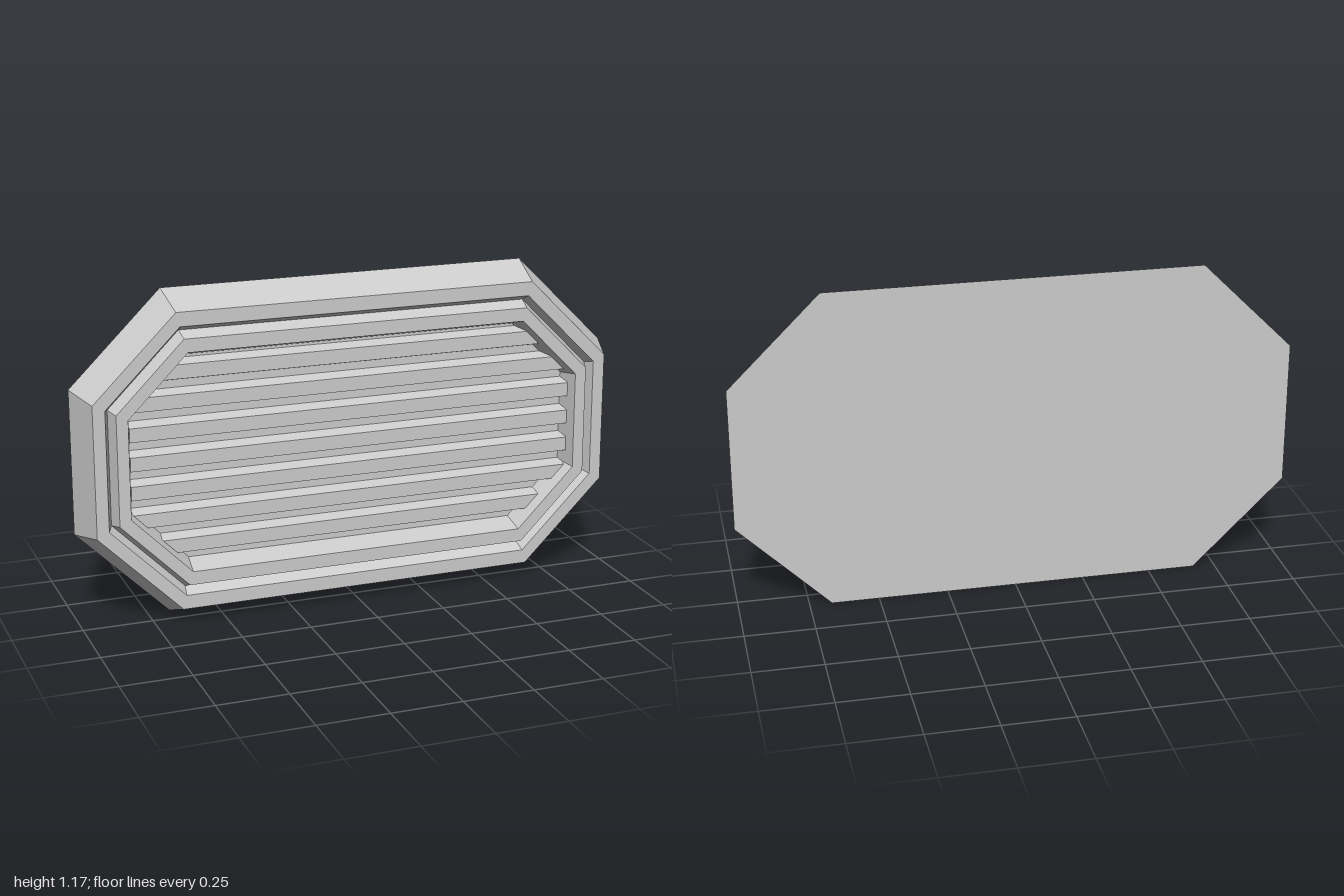
import * as THREE from 'three';

const CY = 0.587; // height of the centre line
const material = new THREE.MeshStandardMaterial({ color: 0xcccccc, flatShading: true, side: THREE.DoubleSide });

// Octagon inset by d from the outer outline: half sizes and corner positions
const octagon = d => ({ w: 1 - d, h: CY - 1.17 * d, cx: 0.67 - 0.3 * d, cy: 0.26 - 0.5 * d });

// Counter-clockwise corners of the octagon at depth z
function ring([d, z]) {
  const { w, h, cx, cy } = octagon(d);
  return [[w, -cy], [w, cy], [cx, h], [-cx, h], [-w, cy], [-w, -cy], [-cx, -h], [cx, -h]]
    .map(([x, y]) => [x, y + CY, z]);
}

// Skin a list of rings; optionally cap the first (facing back) and last (facing front)
function loft(name, steps, capBack, capFront) {
  const rings = steps.map(ring), p = [];
  for (let i = 0; i + 1 < rings.length; i++) {
    const a = rings[i], b = rings[i + 1];
    for (let k = 0; k < 8; k++) {
      const n = (k + 1) % 8;
      p.push(...a[k], ...a[n], ...b[n], ...a[k], ...b[n], ...b[k]);
    }
  }
  const first = rings[0], last = rings[rings.length - 1];
  for (let k = 1; k < 7; k++) {
    if (capBack) p.push(...first[0], ...first[k + 1], ...first[k]);
    if (capFront) p.push(...last[0], ...last[k], ...last[k + 1]);
  }
  const g = new THREE.BufferGeometry();
  g.setAttribute('position', new THREE.Float32BufferAttribute(p, 3));
  g.computeVertexNormals();
  const mesh = new THREE.Mesh(g, material);
  mesh.name = name;
  return mesh;
}

// Half length of the recess at height y from the centre
function reach(y) {
  const { w, h, cx, cy } = octagon(0.178);
  const t = (Math.abs(y) - cy) / (h - cy);
  return t <= 0 ? w : w + (cx - w) * t;
}

// Bevelled slat whose ends follow the slanted recess wall
function slat(y0) {
  const g = new THREE.BoxGeometry(2, 2, 1);
  const pos = g.attributes.position;
  for (let i = 0; i < pos.count; i++) {
    const front = pos.getZ(i) > 0;
    const y = y0 + pos.getY(i) * (front ? 0.025 : 0.04);
    pos.setXYZ(i, pos.getX(i) * reach(y), y + CY, front ? 0.04 : -0.01);
  }
  g.computeVertexNormals();
  const mesh = new THREE.Mesh(g, material);
  mesh.name = 'slat';
  return mesh;
}

export function createModel() {
  const model = new THREE.Group();
  model.name = 'ventGrille';

  // Tapered body with its flat front border
  model.add(loft('frame', [[0, -0.077], [0.047, 0.067], [0.09, 0.067]], true, false));
  // V-shaped groove between the border and the raised rim
  model.add(loft('groove', [[0.09, 0.067], [0.108, 0.025], [0.125, 0.077]], false, false));
  // Raised rim
  model.add(loft('innerRim', [[0.125, 0.077], [0.166, 0.077]], false, false));
  // Recess walls and floor
  model.add(loft('recess', [[0.166, 0.077], [0.188, -0.005]], false, true));

  // Horizontal slats
  const slats = new THREE.Group();
  slats.name = 'slats';
  for (let i = -3; i <= 3; i++) slats.add(slat(i * 0.104 + 0.007));
  model.add(slats);
  return model;
}
